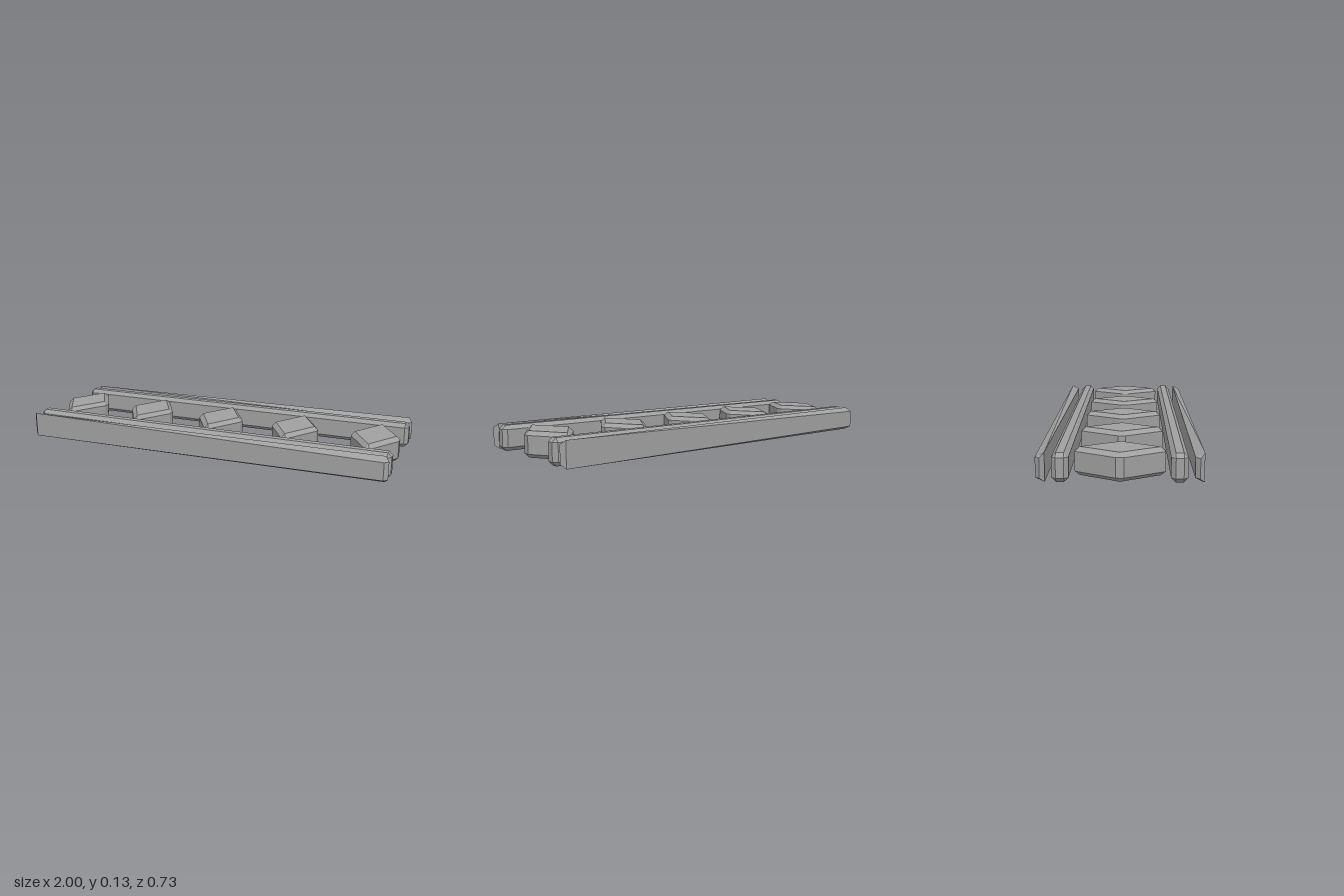
import * as THREE from 'three';
import { ConvexGeometry } from 'three/addons/geometries/ConvexGeometry.js';

const H = 0.131, C = 0.02; // common height and chamfer size

export function createModel() {
  const group = new THREE.Group();
  const material = new THREE.MeshStandardMaterial({ color: 0xa0a0a0, flatShading: true });
  const signs = [-1, 1];

  // Convex faceted solid from corner points
  const solid = (points) => new ConvexGeometry(points.map((p) => new THREE.Vector3(...p)));
  const add = (name, geometry, x, z) => {
    const mesh = new THREE.Mesh(geometry, material);
    mesh.name = name;
    mesh.position.set(x, 0, z);
    group.add(mesh);
  };

  // Inner rail: long box with every edge chamfered
  const rail = [];
  const d = 0.0375;
  for (const sx of signs) for (const sz of signs) {
    for (const y of [C, H - C]) {
      rail.push([sx, y, sz * (d - C)], [sx * (1 - C), y, sz * d]);
    }
    for (const y of [0, H]) rail.push([sx * (1 - C), y, sz * (d - C)]);
  }

  // Outer strip: so thin that its chamfers meet in slanting ridges
  const strip = [];
  for (const sx of signs) {
    for (const y of [C, H - C]) {
      strip.push([sx, y, 0]);
      for (const sz of signs) strip.push([sx * (1 - C), y, sz * 0.0205]);
    }
    for (const y of [0, H]) strip.push([sx * (1 - C), y, -sx * 0.0205]);
  }

  // Diamond block: blunt corners at mid height, sharp rhombus top and bottom
  const diamond = [];
  for (const s of signs) {
    for (const y of [C, H - C]) for (const t of signs) {
      diamond.push([s * 0.124, y, t * 0.018], [t * 0.011, y, s * 0.203]);
    }
    for (const y of [0, H]) diamond.push([s * 0.108, y, 0], [0, y, s * 0.18]);
  }

  const railGeometry = solid(rail);
  const stripGeometry = solid(strip);
  const diamondGeometry = solid(diamond);
  for (const s of signs) {
    const side = s > 0 ? 'front' : 'back';
    add(side + 'InnerRail', railGeometry, 0, s * 0.258);
    add(side + 'OuterStrip', stripGeometry, 0, s * 0.345);
  }
  for (let i = -2; i <= 2; i++) add('diamond' + (i + 3), diamondGeometry, i * 0.433, 0);

  return group;
}
